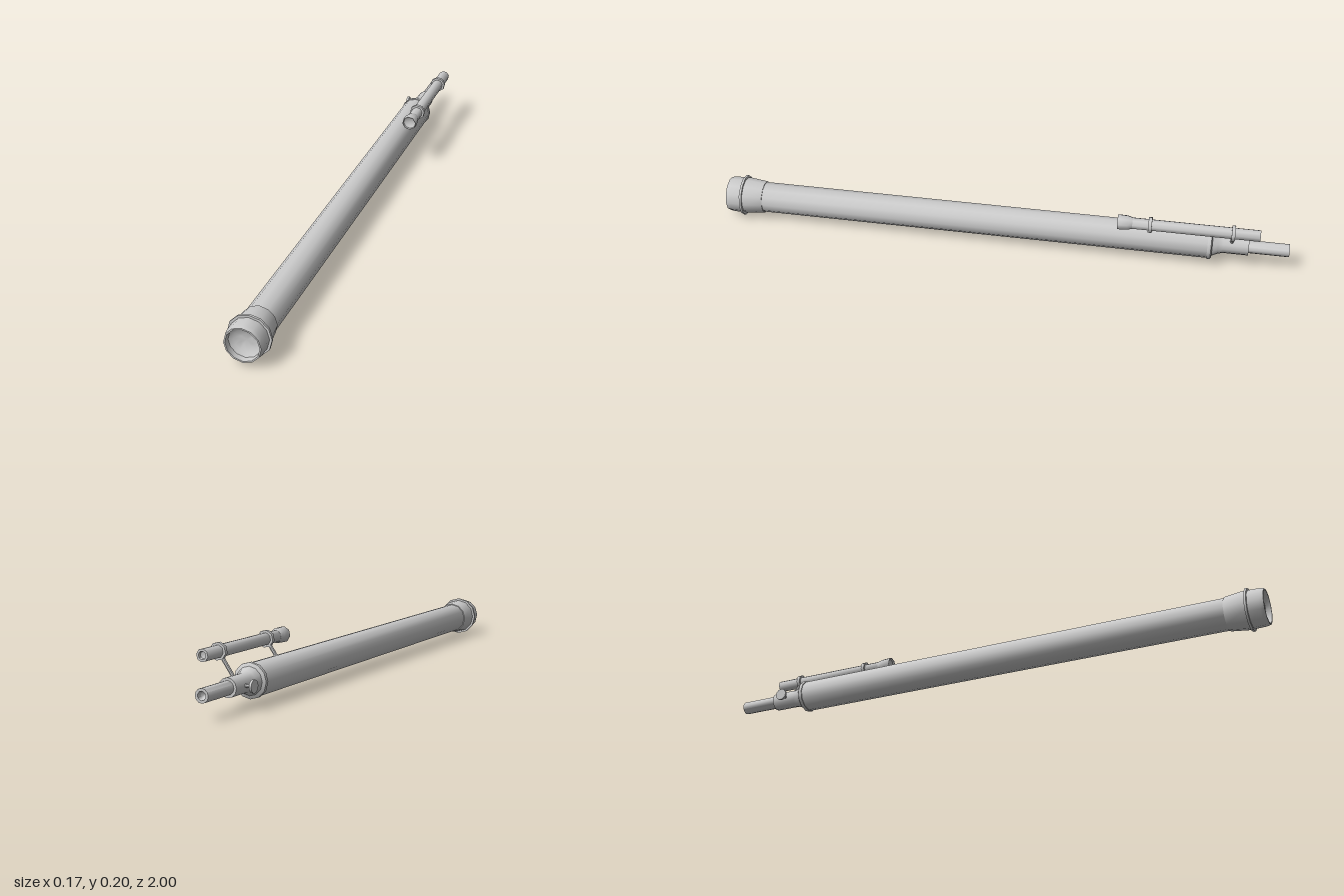
import * as THREE from 'three';
import { toCreasedNormals } from 'three/addons/utils/BufferGeometryUtils.js';

const material = new THREE.MeshStandardMaterial({ color: 0xcccccc });
const AXIS = { x: -0.012, y: 0.072 };     // main tube axis
const FINDER = { x: 0.054, y: 0.168 };    // finder scope axis

function addMesh(parent, name, geometry) {
  const mesh = new THREE.Mesh(toCreasedNormals(geometry, 0.85), material);
  mesh.name = name;
  parent.add(mesh);
  return mesh;
}

// Turned part along z: profile is [radius, z], running from back to front on the outside
function turned(parent, name, profile, sides) {
  const points = profile.map(([r, z]) => new THREE.Vector2(r, z));
  return addMesh(parent, name, new THREE.LatheGeometry(points, sides).rotateX(Math.PI / 2));
}

// Plain rod between two points
function rod(parent, name, from, to, radius, sides) {
  const dir = new THREE.Vector3().subVectors(to, from);
  const mesh = addMesh(parent, name, new THREE.CylinderGeometry(radius, radius, dir.length(), sides));
  mesh.position.copy(from).addScaledVector(dir, 0.5);
  mesh.quaternion.setFromUnitVectors(new THREE.Vector3(0, 1, 0), dir.normalize());
  return mesh;
}

export function createModel() {
  const model = new THREE.Group();
  model.name = 'telescope';

  // Main optical tube and everything on its axis
  const main = new THREE.Group();
  main.name = 'mainTelescope';
  main.position.set(AXIS.x, AXIS.y, 0);
  model.add(main);

  turned(main, 'mainTube', [[0, -0.73], [0.054, -0.73], [0.054, 0.88], [0, 0.88]], 12);
  turned(main, 'lensHood', [
    [0.053, 0.868], [0.057, 0.868], [0.064, 0.925], [0.064, 0.95], [0.063, 0.985], [0.06, 1],
    [0.055, 1], [0.052, 0.975],
  ], 12);
  turned(main, 'hoodRing', [[0.06, 0.939], [0.072, 0.939], [0.072, 0.947], [0.06, 0.947]], 12);
  turned(main, 'mainLens', [[0.053, 0.982], [0.04, 0.973], [0.02, 0.968], [0, 0.966]], 12);
  turned(main, 'rearCollar', [
    [0, -0.738], [0.052, -0.738], [0.057, -0.734], [0.057, -0.722], [0.053, -0.722],
  ], 12);

  // Focuser with flared base, then the eyepiece with its hollow end
  turned(main, 'focuser', [
    [0, -0.862], [0.031, -0.862], [0.031, -0.775], [0.036, -0.758], [0.046, -0.737], [0, -0.73],
  ], 12);
  turned(main, 'eyepiece', [
    [0, -0.975], [0.012, -0.985], [0.014, -1], [0.0225, -1], [0.0225, -0.855], [0, -0.855],
  ], 12);

  // Focus knob on the right side
  const knob = new THREE.Group();
  knob.name = 'focusKnob';
  knob.position.z = -0.808;
  main.add(knob);
  const along = (x) => new THREE.Vector3(x, 0, 0);
  rod(knob, 'knobShaft', along(-0.02), along(-0.055), 0.006, 8);
  rod(knob, 'knobDisc', along(-0.053), along(-0.061), 0.021, 12);

  // Finder scope, turned so its facets line up with the struts
  const finder = new THREE.Group();
  finder.name = 'finderScope';
  finder.position.set(FINDER.x, FINDER.y, 0);
  finder.rotation.z = Math.PI / 18;
  model.add(finder);
  turned(finder, 'finderTube', [
    [0, -0.88], [0.011, -0.885], [0.013, -0.893], [0.0205, -0.893], [0.0205, -0.44], [0, -0.44],
  ], 8);
  turned(finder, 'finderHood', [
    [0.019, -0.463], [0.021, -0.463], [0.026, -0.445], [0.027, -0.418], [0.026, -0.412],
    [0.0245, -0.412], [0.023, -0.422],
  ], 8);
  turned(finder, 'finderLens', [[0.0245, -0.419], [0.016, -0.424], [0, -0.427]], 8);

  // Clamp rings and struts joining the finder to the telescope
  const a = new THREE.Vector2(AXIS.x, AXIS.y);
  const d = new THREE.Vector2(FINDER.x, FINDER.y).sub(a).normalize();
  const at = (r, z) => new THREE.Vector3(a.x + d.x * r, a.y + d.y * r, z);
  for (const [z, start] of [[-0.523, 0.048], [-0.803, 0.024]]) {
    turned(finder, 'clampRing', [
      [0.019, z - 0.006], [0.0285, z - 0.006], [0.0285, z + 0.006], [0.019, z + 0.006],
    ], 8);
    rod(model, 'finderStrut', at(start, z), at(0.1, z), 0.006, 8);
  }

  return model;
}
